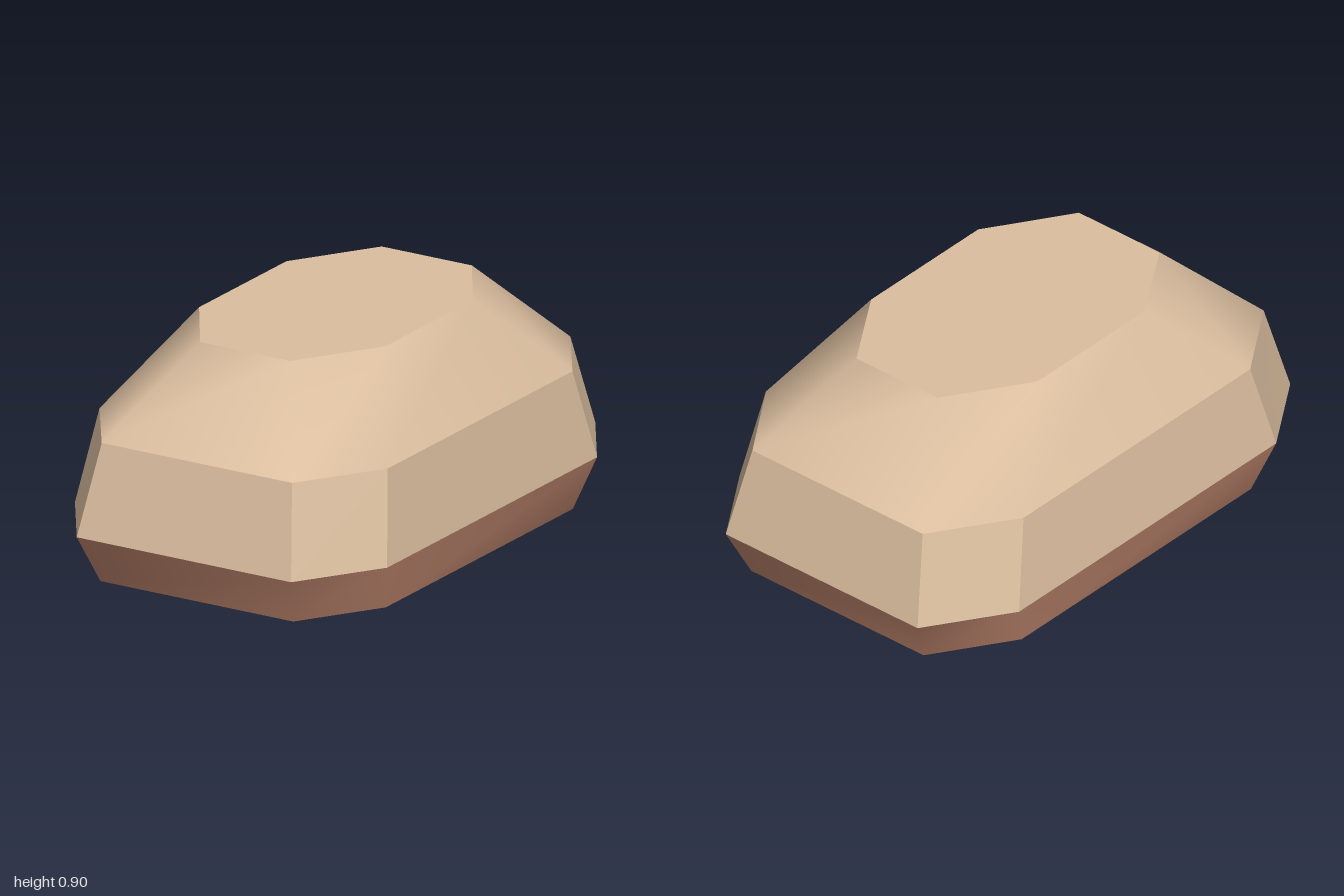
import * as THREE from 'three';

// Chamfered-rectangle ring: [height, half width, half depth, chamfer start x, chamfer start z]
const RINGS = [
  [0, 0.43, 0.655, 0.29, 0.46],
  [0.065, 0.595, 0.915, 0.4, 0.615],
  [0.245, 0.648, 1, 0.445, 0.69],
  [0.58, 0.598, 0.915, 0.395, 0.608],
  [0.9, 0.387, 0.597, 0.187, 0.287],
];

// Eight corners, running from +z towards +x
function ring([y, w, d, cx, cz]) {
  return [[cx, d], [w, cz], [w, -cz], [cx, -d], [-cx, -d], [-w, -cz], [-w, cz], [-cx, d]]
    .map(([x, z]) => [x, y, z]);
}

// Wall between two rings, with shared corners when smooth
function band(low, high, smooth) {
  const index = [];
  for (let i = 0; i < 8; i++) {
    const j = (i + 1) % 8;
    index.push(i, j, j + 8, i, j + 8, i + 8);
  }
  let geo = new THREE.BufferGeometry();
  geo.setAttribute('position', new THREE.Float32BufferAttribute([...ring(low), ...ring(high)].flat(), 3));
  geo.setIndex(index);
  if (!smooth) geo = geo.toNonIndexed();
  geo.computeVertexNormals();
  return geo;
}

// Flat octagonal face closing a ring
function cap(level, up) {
  const index = [];
  for (let i = 1; i < 7; i++) index.push(0, ...(up ? [i, i + 1] : [i + 1, i]));
  const geo = new THREE.BufferGeometry();
  geo.setAttribute('position', new THREE.Float32BufferAttribute(ring(level).flat(), 3));
  geo.setIndex(index);
  geo.computeVertexNormals();
  return geo;
}

export function createModel() {
  const tan = new THREE.MeshStandardMaterial({ color: 0xdcbfa0 });
  tan.name = 'tan';
  const brown = new THREE.MeshStandardMaterial({ color: 0xc98d74 });
  brown.name = 'reddish brown';

  const model = new THREE.Group();
  model.name = 'facetedBody';
  const add = (name, geo, mat) => {
    const mesh = new THREE.Mesh(geo, mat);
    mesh.name = name;
    model.add(mesh);
  };

  // Lower shell
  add('underside', cap(RINGS[0], false), brown);
  add('lowerBevel', band(RINGS[0], RINGS[1], false), brown);
  add('lowerWall', band(RINGS[1], RINGS[2], true), brown);

  // Upper shell
  add('upperWall', band(RINGS[2], RINGS[3], false), tan);
  add('slopingShoulder', band(RINGS[3], RINGS[4], true), tan);
  add('flatTop', cap(RINGS[4], true), tan);
  return model;
}
